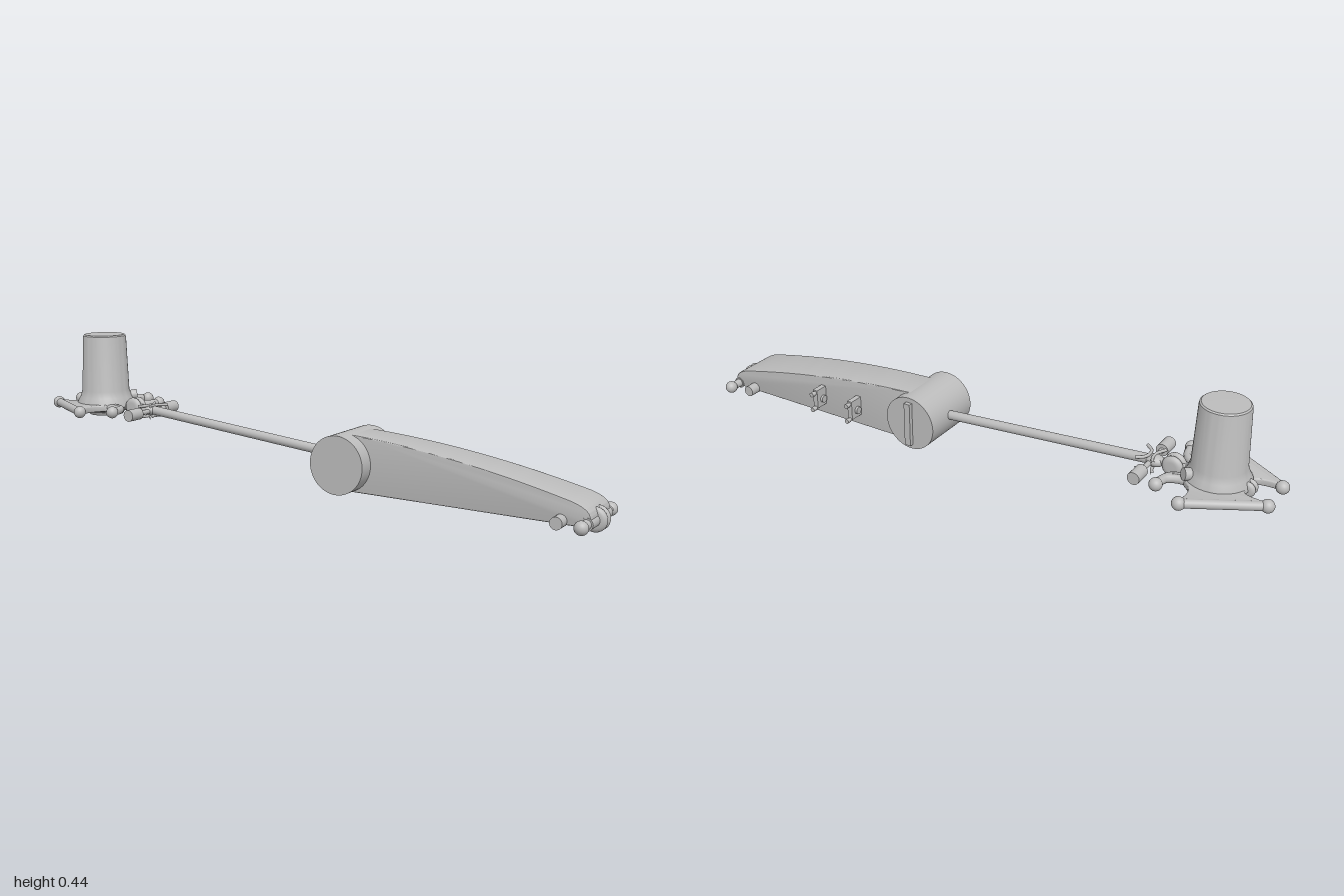
import * as THREE from 'three';
import { toCreasedNormals } from 'three/addons/utils/BufferGeometryUtils.js';

const grey = new THREE.MeshStandardMaterial({ color: 0xbcbcbc });
grey.name = 'grey';
const V = (x, y, z) => new THREE.Vector3(x, y, z);

export function createModel() {
  const model = new THREE.Group();
  model.name = 'mechanicalArm';

  const add = (name, geo, x = 0, y = 0, z = 0) => {
    const m = new THREE.Mesh(geo, grey);
    m.name = name;
    m.position.set(x, y, z);
    model.add(m);
    return m;
  };
  // Cylinder running from a to b
  const rod = (name, a, b, r, r2 = r, sides = 32) => {
    const d = b.clone().sub(a);
    const m = add(name, new THREE.CylinderGeometry(r2, r, d.length(), sides));
    m.position.copy(a).addScaledVector(d, 0.5);
    m.quaternion.setFromUnitVectors(V(0, 1, 0), d.normalize());
    return m;
  };
  const ball = (name, x, y, z, r) => add(name, new THREE.SphereGeometry(r, 24, 16), x, y, z);
  const tube = (name, pts, r) =>
    add(name, new THREE.TubeGeometry(new THREE.CatmullRomCurve3(pts), 24, r, 10));
  // Pair of round-edged discs side by side on a z axle
  const twinDiscs = (name, x, y, z, r, t) => {
    const pts = [new THREE.Vector2(0, -t)];
    for (let i = 0; i <= 8; i++) {
      const a = (i / 8 - 0.5) * Math.PI;
      pts.push(new THREE.Vector2(r - 1.4 * t + 1.4 * t * Math.cos(a), t * Math.sin(a)));
    }
    pts.push(new THREE.Vector2(0, t));
    for (const s of [-1, 1])
      add(name, new THREE.LatheGeometry(pts, 32), x, y, z + s * t).rotation.x = Math.PI / 2;
  };

  // ---- Arm body: side profile, narrowed towards the drum ----
  const side = new THREE.Shape();
  side.moveTo(0.2, 0.026);
  side.lineTo(0.95, 0.026);
  side.quadraticCurveTo(0.985, 0.035, 0.972, 0.063);
  side.quadraticCurveTo(0.965, 0.082, 0.92, 0.096);
  side.quadraticCurveTo(0.56, 0.186, 0.2, 0.204);
  const bodyGeo = new THREE.ExtrudeGeometry(side, {
    depth: 1.88, bevelThickness: 0.06, bevelSize: 0.004, bevelOffset: -0.004,
    bevelSegments: 3, curveSegments: 20,
  });
  const p = bodyGeo.attributes.position;
  for (let i = 0; i < p.count; i++) {
    const half = 0.063 + (p.getX(i) - 0.2) * 0.023;
    p.setZ(i, (p.getZ(i) - 0.94) * half - 0.003);
  }
  add('armBody', toCreasedNormals(bodyGeo, 0.5));

  // ---- Drum joint with grip bar on the back ----
  rod('drum', V(0.197, 0.115, -0.103), V(0.197, 0.115, 0.113), 0.091, 0.091, 64);
  add('drumGrip', new THREE.BoxGeometry(0.022, 0.15, 0.016), 0.197, 0.115, -0.109);

  // ---- Lower end: axle, balls, discs and side lugs ----
  const endX = 0.963, endY = 0.037;
  rod('endAxle', V(endX, endY, -0.085), V(endX, endY, 0.08), 0.019);
  for (const s of [-1, 1]) {
    const z0 = -0.002;
    rod('endNeck', V(endX, endY, z0 + s * 0.075), V(endX, endY, z0 + s * 0.125), 0.015, 0.011);
    ball('endBall', endX, endY, z0 + s * 0.123, 0.0205);
    rod('sideLug', V(0.889, 0.037, z0 + s * 0.07), V(0.889, 0.037, z0 + s * 0.115), 0.0185);
  }
  twinDiscs('endDisc', endX, endY, -0.001, 0.037, 0.0125);

  // ---- Two brackets on the back of the arm ----
  for (const x of [0.43, 0.577]) {
    add('bracketPlate', new THREE.BoxGeometry(0.018, 0.066, 0.056), x, 0.099, -0.091);
    for (const y of [0.122, 0.066]) {
      rod('bracketPeg', V(x, y, -0.105), V(x, y, -0.127), 0.006);
      rod('bracketPegHead', V(x, y, -0.125), V(x, y, -0.138), 0.008);
    }
    rod('bracketPin', V(x - 0.017, 0.092, -0.092), V(x + 0.017, 0.092, -0.092), 0.0125);
  }

  // ---- Long connecting rod ----
  rod('connectingRod', V(0.13, 0.124, -0.002), V(-0.6, 0.194, -0.002), 0.015);

  // ---- Head: tapered turret flaring into a round base ----
  const hx = -0.81, hz = -0.001, legY = 0.197;
  const profile = [
    [0, 0.178], [0.02, 0.178], [0.022, 0.165], [0.058, 0.165], [0.064, 0.176],
    [0.09, 0.184], [0.1, 0.197], [0.097, 0.212], [0.088, 0.228], [0.081, 0.25],
    [0.074, 0.432], [0.0725, 0.439], [0.068, 0.443], [0, 0.445],
  ].map(([r, y]) => new THREE.Vector2(r, y));
  add('turret', toCreasedNormals(new THREE.LatheGeometry(profile, 64), 0.6), hx, 0, hz);
  rod('turretStub', V(-0.78, 0.219, -0.032), V(-0.736, 0.228, -0.079), 0.018);

  // Webbed foot: concave plate from hub to a straight toe bar with a ball at each end
  const foot = (a, b, ha, hb) => {
    const s = new THREE.Shape();
    const core = [(a[0] + b[0]) * 0.25 + hx * 0.5, (a[1] + b[1]) * 0.35];
    const bend = (u, v) => [
      (u[0] + v[0]) * 0.3 + core[0] * 0.4,
      -((u[1] + v[1]) * 0.3 + core[1] * 0.4),
    ];
    s.moveTo(hx, 0);
    s.lineTo(ha[0], -ha[1]);
    s.quadraticCurveTo(...bend(ha, a), a[0], -a[1]);
    s.lineTo(b[0], -b[1]);
    s.quadraticCurveTo(...bend(b, hb), hb[0], -hb[1]);
    const geo = new THREE.ExtrudeGeometry(s, {
      depth: 0.014, bevelThickness: 0.004, bevelSize: 0.004, bevelSegments: 3, curveSegments: 12,
    });
    geo.rotateX(-Math.PI / 2);
    add('footWeb', toCreasedNormals(geo, 0.6), 0, legY - 0.007, hz);
    rod('toeBar', V(a[0], legY, a[1] + hz), V(b[0], legY, b[1] + hz), 0.0135);
    for (const q of [a, b]) ball('toeBall', q[0], legY, q[1] + hz, 0.02);
  };
  for (const s of [-1, 1])
    foot([-0.98, 0.057 * s], [-0.77, 0.178 * s], [-0.9, 0.035 * s], [-0.745, 0.075 * s]);

  // Inner foot: two curved arms meeting at the wrist
  for (const s of [-1, 1]) {
    tube('wristArm', [V(-0.755, legY, hz + s * 0.06), V(-0.715, legY, hz + s * 0.063),
      V(-0.685, legY, hz + s * 0.08), V(-0.675, legY, hz + s * 0.122)], 0.0135);
    tube('wristBrace', [V(-0.675, legY, hz + s * 0.11), V(-0.684, legY, hz + s * 0.075),
      V(-0.7, legY, hz + s * 0.055), V(-0.75, legY, hz + s * 0.045)], 0.013);
    ball('wristBall', -0.675, legY, hz + s * 0.123, 0.02);
  }
  rod('wristSpoke', V(-0.75, legY, hz), V(-0.61, legY, hz), 0.013);
  twinDiscs('wristDisc', -0.675, 0.199, hz, 0.033, 0.012);
  twinDiscs('outerDisc', -0.902, 0.199, hz, 0.024, 0.01);

  // ---- Clamp across the end of the rod ----
  for (const s of [-1, 1]) {
    rod('clampKnob', V(-0.605, 0.191, hz + s * 0.067), V(-0.605, 0.191, hz + s * 0.123), 0.0195);
    rod('clampPin', V(-0.605, 0.191, hz), V(-0.605, 0.191, hz + s * 0.07), 0.008);
  }
  for (const y of [0.174, 0.21]) {
    tube('clampClaw', [V(-0.57, y, hz - 0.042), V(-0.592, y, hz - 0.022), V(-0.597, y, hz),
      V(-0.592, y, hz + 0.022), V(-0.57, y, hz + 0.042)], 0.005);
    tube('clampHook', [V(-0.628, y, hz - 0.045), V(-0.615, y, hz - 0.02), V(-0.612, y, hz),
      V(-0.615, y, hz + 0.02), V(-0.628, y, hz + 0.045)], 0.005);
  }
  ball('clampCore', -0.615, 0.194, hz, 1).scale.set(0.03, 0.018, 0.024);

  return model;
}
